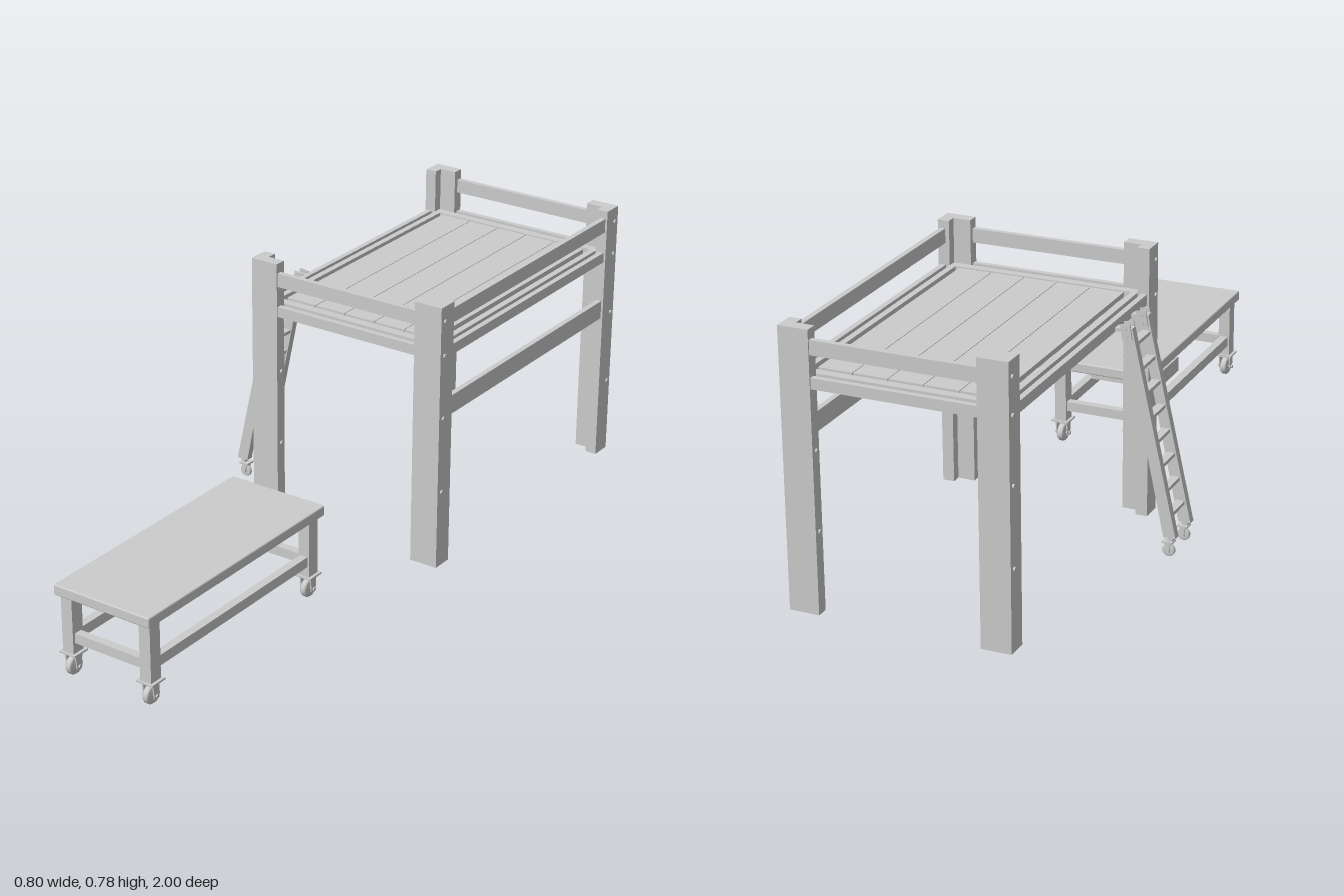
import * as THREE from 'three';
import { RoundedBoxGeometry } from 'three/addons/geometries/RoundedBoxGeometry.js';

const mat = new THREE.MeshStandardMaterial({ color: 0xcccccc });

function add(parent, name, geo) {
  const m = new THREE.Mesh(geo, mat);
  m.name = name;
  parent.add(m);
  return m;
}

// Box given by its extents on each axis
function box(parent, name, x0, x1, y0, y1, z0, z1) {
  const m = add(parent, name, new THREE.BoxGeometry(Math.abs(x1 - x0), y1 - y0, Math.abs(z1 - z0)));
  m.position.set((x0 + x1) / 2, (y0 + y1) / 2, (z0 + z1) / 2);
  return m;
}

// Cylinder lying along x or z
function rod(parent, name, axis, r, len, x, y, z, sides = 12) {
  const g = new THREE.CylinderGeometry(r, r, len, sides);
  if (axis === 'x') g.rotateZ(Math.PI / 2);
  else g.rotateX(Math.PI / 2);
  const m = add(parent, name, g);
  m.position.set(x, y, z);
  return m;
}

function group(parent, name) {
  const g = new THREE.Group();
  g.name = name;
  parent.add(g);
  return g;
}

// Caster with its wheel axle along x; its origin is on the floor
function caster(parent, r, top, halfWidth) {
  const g = group(parent, 'caster');
  const w = halfWidth;
  box(g, 'casterPlate', -w * 1.15, w * 1.15, top - 0.005, top, -w * 1.15, w * 1.15);
  box(g, 'forkCrown', -w * 0.8, w * 0.8, top - 0.012, top - 0.005, -w * 0.6, w * 0.6);
  for (const s of [-1, 1]) {
    const shape = new THREE.Shape();
    shape.moveTo(-w * 0.6, top - 0.005);
    shape.lineTo(w * 0.6, top - 0.005);
    shape.lineTo(w * 0.35, r * 0.75);
    shape.lineTo(-w * 0.35, r * 0.75);
    const side = new THREE.ExtrudeGeometry(shape, { depth: 0.004, bevelEnabled: false });
    side.translate(0, 0, -0.002).rotateY(Math.PI / 2);
    add(g, 'forkSide', side).position.x = s * w * 0.72;
  }
  const h = w * 0.45;
  const tread = [[0, -h], [r * 0.85, -h], [r, -h * 0.5], [r, h * 0.5], [r * 0.85, h], [0, h]];
  const wheel = new THREE.LatheGeometry(tread.map(p => new THREE.Vector2(...p)), 24);
  add(g, 'wheel', wheel.rotateZ(Math.PI / 2)).position.y = r;
  rod(g, 'axle', 'x', 0.005, w * 2, 0, r, 0);
  return g;
}

const CX = 0.0825, CZ = -0.523;      // centre of the bed
const HX = 0.3125, HZ = 0.473;       // half size of the bed

function buildBed(parent) {
  const bed = group(parent, 'loftBed');
  bed.position.set(CX, 0, CZ);

  // Angle-shaped corner posts with bolts
  for (const sx of [-1, 1]) for (const sz of [-1, 1]) {
    const post = group(bed, 'cornerPost');
    box(post, 'postFace', sx * HX, sx * (HX - 0.085), 0, 0.778, sz * HZ, sz * (HZ - 0.034));
    box(post, 'postSide', sx * HX, sx * (HX - 0.034), 0, 0.778, sz * (HZ - 0.034), sz * (HZ - 0.062));
    for (const y of [0.735, 0.635, 0.45, 0.228]) {
      rod(post, 'bolt', 'x', 0.006, 0.006, sx * (HX + 0.002), y, sz * (HZ - 0.018));
      if (y < 0.5) rod(post, 'nut', 'x', 0.006, 0.006, sx * (HX - 0.087), y, sz * (HZ - 0.018));
    }
  }

  // Rails between the posts; the ladder side has no guard rail
  const ex = HX - 0.085, ez = HZ - 0.062;
  for (const s of [-1, 1]) {
    const z0 = s * (HZ - 0.004), z1 = s * (HZ - 0.02);
    box(bed, 'endGuardRail', -ex, ex, 0.71, 0.75, z0, z1);
    box(bed, 'endBedRail', -ex, ex, 0.62, 0.65, z0, z1);
    box(bed, 'sideBedRail', s * (HX - 0.006), s * (HX - 0.022), 0.62, 0.65, -ez, ez);
    box(bed, 'innerSideRail', s * (HX - 0.034), s * (HX - 0.052), 0.62, 0.65, -HZ + 0.036, HZ - 0.036);
    box(bed, 'innerEndRail', -HX + 0.052, HX - 0.052, 0.62, 0.65, s * (HZ - 0.036), s * (HZ - 0.062));
  }
  box(bed, 'sideGuardRail', HX - 0.022, HX - 0.006, 0.713, 0.755, -ez, ez);
  box(bed, 'middleSideRail', HX - 0.022, HX - 0.006, 0.443, 0.498, -ez, ez);

  // Cross slats carrying five long boards
  for (let i = 0; i < 7; i++) {
    const z = -0.313 + i * 0.1043;
    box(bed, 'crossSlat', -HX + 0.05, HX - 0.05, 0.622, 0.637, z - 0.018, z + 0.018);
  }
  for (let i = 0; i < 5; i++) {
    const x = -0.245 + i * 0.098;
    box(bed, 'bedBoard', x + 0.001, x + 0.097, 0.637, 0.651, -0.4, 0.4);
  }
}

function buildLadder(parent) {
  const ladder = group(parent, 'ladder');
  const xAt = y => -0.3825 + (y - 0.057) * 0.217;  // centre line of the stringers
  for (const z of [-0.21, -0.319]) {
    const shape = new THREE.Shape();
    shape.moveTo(-0.4, 0.057);
    shape.lineTo(-0.365, 0.057);
    shape.lineTo(-0.244, 0.635);
    shape.lineTo(-0.272, 0.635);
    const g = new THREE.ExtrudeGeometry(shape, { depth: 0.022, bevelEnabled: false });
    add(ladder, 'stringer', g).position.z = z - 0.011;
    // Hook bracket over the bed rail
    for (const s of [-1, 1]) {
      const plate = box(ladder, 'hookPlate', -0.27, -0.242, 0.602, 0.646, z + s * 0.011, z + s * 0.015);
      plate.rotation.z = -0.15;
      for (const y of [0.612, 0.632]) rod(ladder, 'hookBolt', 'z', 0.005, 0.004, -0.256 + (y - 0.62) * 0.2, y, z + s * 0.016);
    }
    box(ladder, 'hookArm', -0.25, -0.222, 0.622, 0.632, z - 0.012, z + 0.012);
    // Small caster turned sideways
    const c = caster(ladder, 0.018, 0.046, 0.013);
    c.position.set(-0.377, 0, z);
    c.rotation.y = Math.PI / 2;
    box(ladder, 'casterStem', -0.39, -0.376, 0.044, 0.06, z - 0.007, z + 0.007);
  }
  for (let i = 0; i < 8; i++) {
    const y = 0.115 + i * 0.0675;
    const rung = box(ladder, 'rung', -0.012, 0.012, -0.005, 0.005, -0.31, -0.22);
    rung.position.set(xAt(y), y, -0.2645);
  }
}

function buildTable(parent) {
  const table = group(parent, 'rollingTable');
  const top = add(table, 'tableTop', new RoundedBoxGeometry(0.308, 0.03, 0.756, 2, 0.004));
  top.position.set(0.071, 0.252, 0.622);
  const legX = [-0.055, 0.1975], legZ = [0.283, 0.965];
  for (const x of legX) for (const z of legZ) {
    box(table, 'tableLeg', x - 0.0175, x + 0.0175, 0.07, 0.24, z - 0.02, z + 0.02);
    caster(table, 0.0265, 0.07, 0.023).position.set(x, 0, z);
  }
  for (const z of legZ) box(table, 'endStretcher', legX[0], legX[1], 0.1, 0.128, z - 0.012, z + 0.012);
  for (const x of legX) box(table, 'sideStretcher', x - 0.012, x + 0.012, 0.1, 0.13, legZ[0], legZ[1]);

  // Open drawer hung on slides under the top
  const drawer = group(table, 'drawer');
  box(drawer, 'drawerBottom', -0.065, 0.14, 0.175, 0.181, 0.36, 0.51);
  for (const z of [0.36, 0.504]) box(drawer, 'drawerSide', -0.065, 0.14, 0.175, 0.22, z, z + 0.006);
  box(drawer, 'drawerFront', -0.071, -0.065, 0.175, 0.22, 0.352, 0.518);
  box(drawer, 'drawerBack', 0.134, 0.14, 0.175, 0.22, 0.36, 0.51);
  for (const [a, b] of [[0.345, 0.36], [0.51, 0.525]]) {
    box(drawer, 'drawerSlide', -0.04, 0.175, 0.228, 0.238, a, b);
    box(drawer, 'slideHanger', -0.04, 0.14, 0.19, 0.228, (a + b) / 2 - 0.003, (a + b) / 2 + 0.003);
    box(drawer, 'slideRunner', -0.04, 0.14, 0.19, 0.197, a, b);
  }
}

export function createModel() {
  const model = new THREE.Group();
  model.name = 'loftBedWithLadderAndTable';
  buildBed(model);
  buildLadder(model);
  buildTable(model);
  return model;
}
